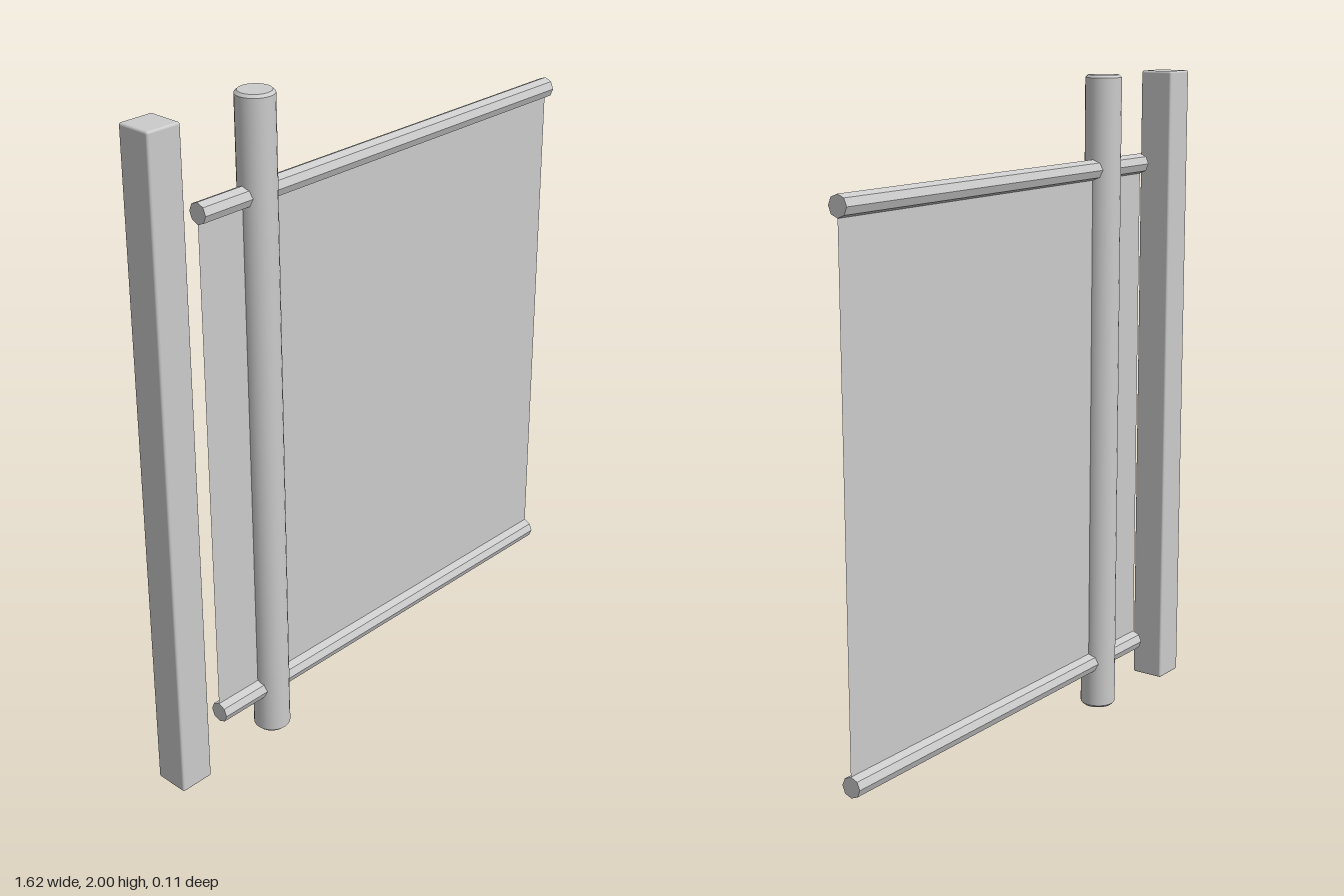
import * as THREE from 'three';
import { RoundedBoxGeometry } from 'three/addons/geometries/RoundedBoxGeometry.js';
import { toCreasedNormals } from 'three/addons/utils/BufferGeometryUtils.js';

const HEIGHT = 2;
const RAIL_Y = [0.15, 1.72];
const LEFT = 0.81, RIGHT = -0.615; // ends of the rails and the panel

export function createModel() {
  const group = new THREE.Group();
  const smooth = new THREE.MeshStandardMaterial({ color: 0xcccccc });
  const faceted = new THREE.MeshStandardMaterial({ color: 0xcccccc, flatShading: true });
  const thin = new THREE.MeshStandardMaterial({ color: 0xcccccc, side: THREE.DoubleSide });

  const add = (name, geometry, material, x, y) => {
    const mesh = new THREE.Mesh(geometry, material);
    mesh.name = name;
    mesh.position.set(x, y, 0);
    group.add(mesh);
    return mesh;
  };

  // Square post with softened edges
  add('squarePost', new RoundedBoxGeometry(0.108, HEIGHT, 0.108, 2, 0.007), smooth, -0.757, HEIGHT / 2);

  // Round post with bevelled ends
  const r = 0.055, bevel = 0.008;
  const profile = [
    [0, 0], [r - bevel, 0], [r, bevel],
    [r, HEIGHT - bevel], [r - bevel, HEIGHT], [0, HEIGHT],
  ].map(([x, y]) => new THREE.Vector2(x, y));
  add('roundPost', toCreasedNormals(new THREE.LatheGeometry(profile, 24), 0.6), smooth, -0.403, 0);

  // Horizontal rails passing through the round post
  const length = LEFT - RIGHT, middle = (LEFT + RIGHT) / 2;
  RAIL_Y.forEach((y, i) => {
    const rail = add(i ? 'topRail' : 'bottomRail',
      new THREE.CylinderGeometry(0.031, 0.031, length, 8), faceted, middle, y);
    rail.rotation.z = Math.PI / 2;
  });

  // Thin sheet stretched between the rails
  add('panel', new THREE.PlaneGeometry(length, RAIL_Y[1] - RAIL_Y[0]), thin,
    middle, (RAIL_Y[0] + RAIL_Y[1]) / 2);

  return group;
}
